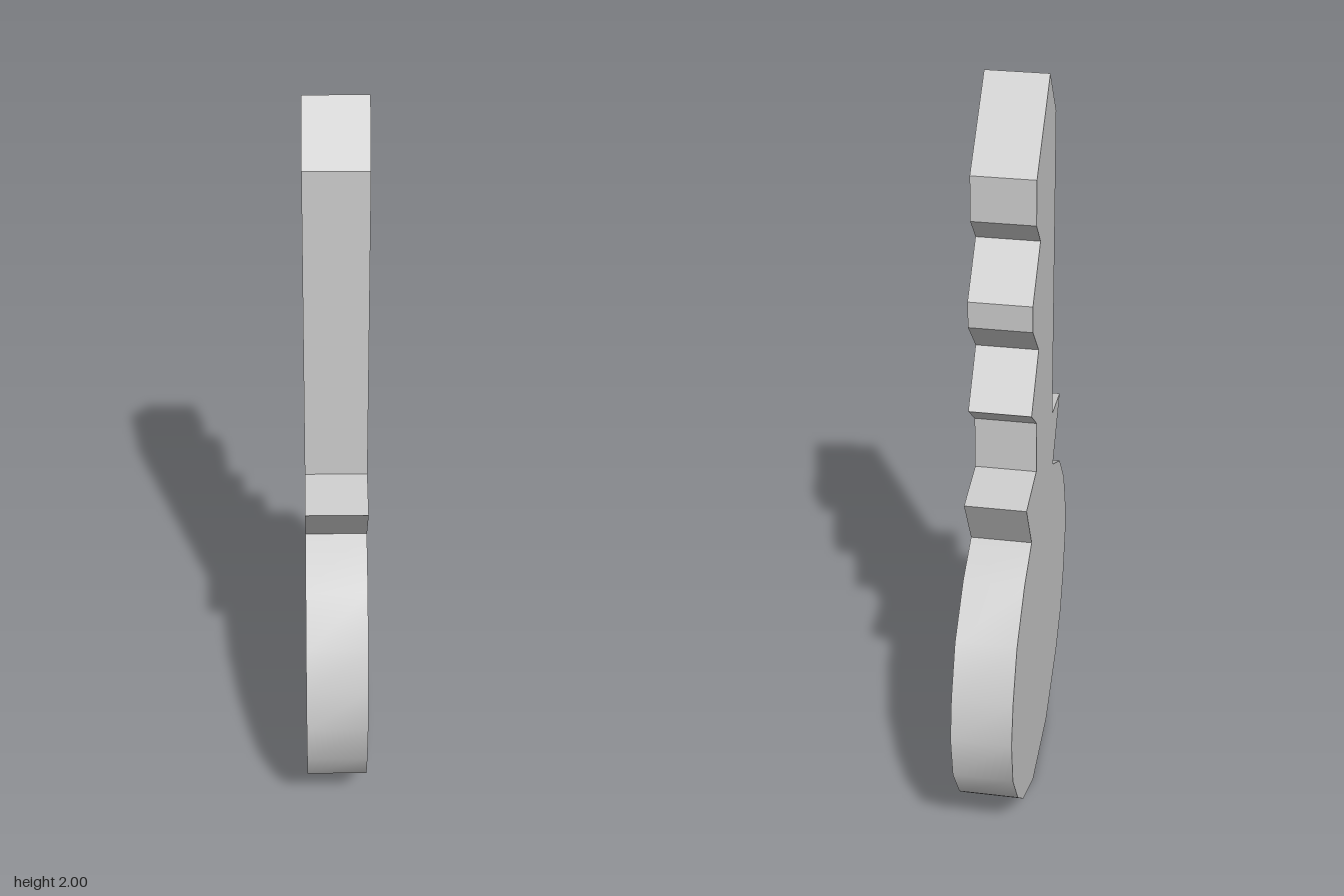
import * as THREE from 'three';
import { toCreasedNormals } from 'three/addons/utils/BufferGeometryUtils.js';

const THICKNESS = 0.156;

// Outline sections as [z, y], joined into one closed loop
const bowFront = [
  [0.13, 0.01], [0.32, 0.11], [0.41, 0.195], [0.46, 0.3], [0.495, 0.44],
  [0.475, 0.55], [0.435, 0.65], [0.34, 0.765], [0.2, 0.842],
];
const collarFront = [[0.317, 0.995], [0.177, 1.015]];
const bladeTip = [[0.177, 1.865], [0.07, 2], [-0.13, 1.82]];
const teeth = [
  [-0.13, 1.705], [-0.065, 1.635], [-0.18, 1.52], [-0.177, 1.45],
  [-0.08, 1.35], [-0.19, 1.225], [-0.105, 1.155],
];
const collarBack = [[-0.105, 1.013], [-0.263, 0.997]];
const bowBack = [
  [-0.175, 0.843], [-0.29, 0.79], [-0.41, 0.685], [-0.47, 0.555],
  [-0.493, 0.44], [-0.472, 0.305], [-0.39, 0.175], [-0.3, 0.09], [-0.12, 0],
];

export function createModel() {
  const outline = [bowFront, collarFront, bladeTip, teeth, collarBack, bowBack].flat();
  const shape = new THREE.Shape(outline.map(([z, y]) => new THREE.Vector2(z, y)));

  // Flat plate, turned so its thickness runs along x
  const plate = new THREE.ExtrudeGeometry(shape, { depth: THICKNESS, bevelEnabled: false });
  plate.translate(0, 0, -THICKNESS / 2);
  plate.rotateY(-Math.PI / 2);

  // Smooth round the bow rim, sharp on the blade and collar
  const key = new THREE.Mesh(
    toCreasedNormals(plate, 0.6),
    new THREE.MeshStandardMaterial({ color: 0xcccccc }),
  );
  key.name = 'keyPlate';

  const group = new THREE.Group();
  group.name = 'key';
  group.add(key);
  return group;
}
